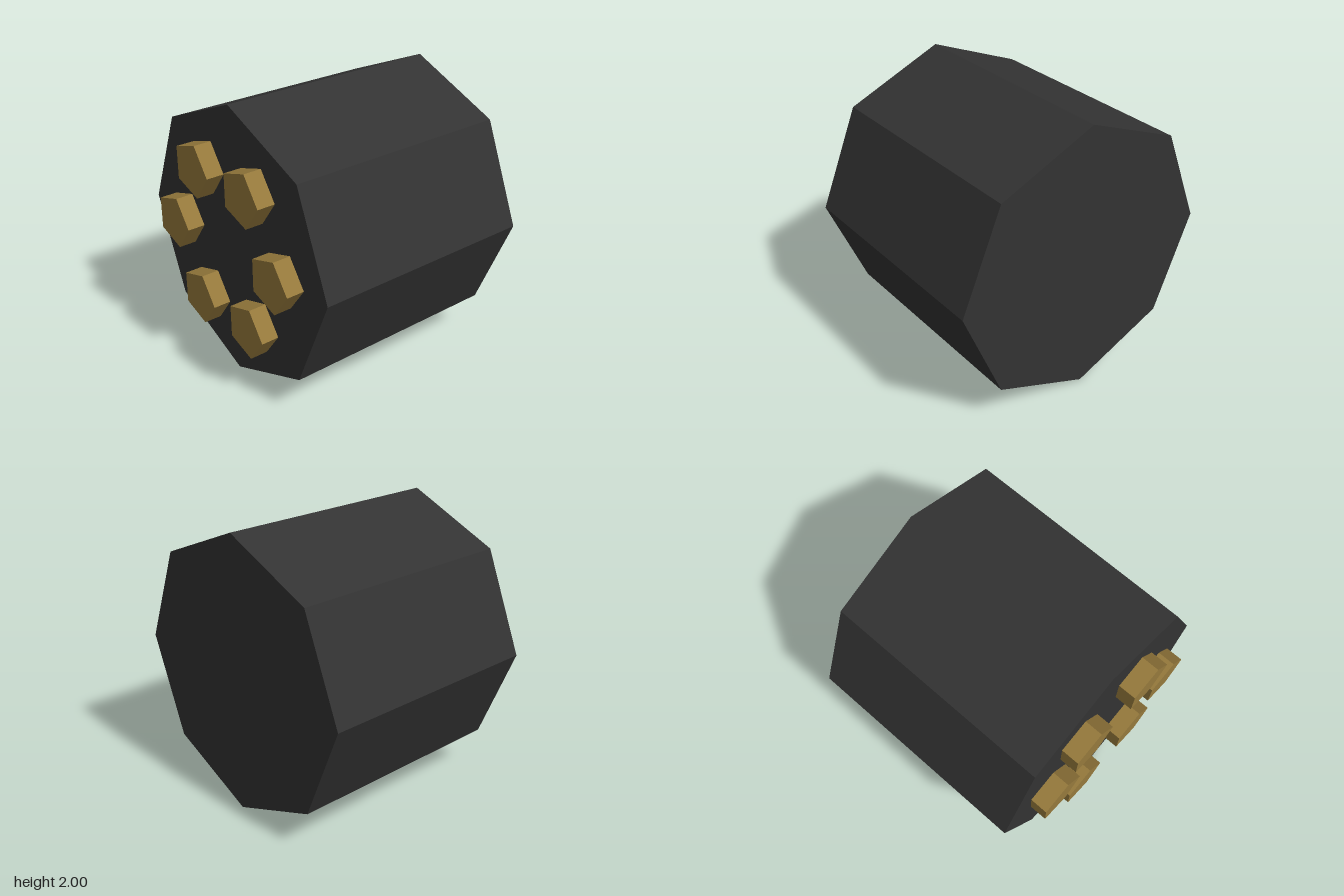
import * as THREE from 'three';

const FRONT = 0.77, BACK = -0.9, TIP = 0.9;

// Solid prism lying along z, with one corner pointing to +x
function prism(name, radius, sides, z0, z1, material) {
  const geometry = new THREE.CylinderGeometry(radius, radius, z1 - z0, sides, 1, false, Math.PI / 2);
  geometry.rotateX(Math.PI / 2);
  const mesh = new THREE.Mesh(geometry.toNonIndexed(), material);
  mesh.geometry.computeVertexNormals(); // hard facets
  mesh.name = name;
  mesh.position.z = (z0 + z1) / 2;
  return mesh;
}

export function createModel() {
  const darkGrey = new THREE.MeshStandardMaterial({ color: 0x333333 });
  darkGrey.name = 'darkGrey';
  const brass = new THREE.MeshStandardMaterial({ color: 0x967a3c });
  brass.name = 'brass';

  const model = new THREE.Group();
  model.name = 'drum';

  // Octagonal drum
  const body = prism('body', 1, 8, BACK, FRONT, darkGrey);
  body.position.y = 1;
  model.add(body);

  // Ring of six five-sided pegs on the front face
  const pegs = new THREE.Group();
  pegs.name = 'pegs';
  for (let i = 0; i < 6; i++) {
    const angle = (i * Math.PI) / 3;
    const peg = prism('peg', 0.2, 5, FRONT, TIP, brass);
    peg.position.x = 0.567 * Math.cos(angle);
    peg.position.y = 1 + 0.567 * Math.sin(angle);
    pegs.add(peg);
  }
  model.add(pegs);
  return model;
}
